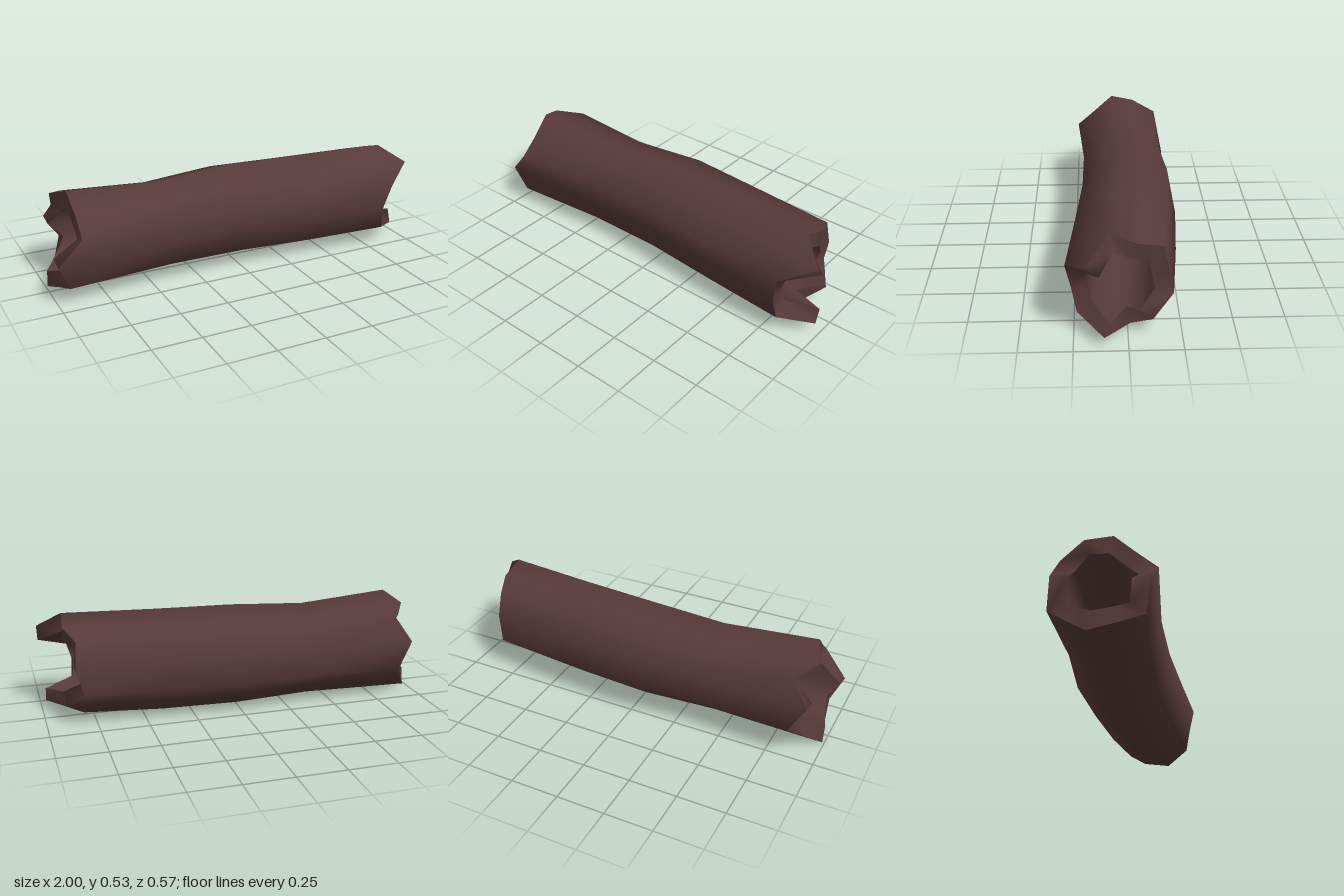
import * as THREE from 'three';

const SIDES = 6;
const COLS = SIDES * 2; // corners plus the middle of every side
const TWIST = THREE.MathUtils.degToRad(11);
const WALL = 0.65; // inner radius as a share of the outer one

// Broken edge: x of each rim point, from the top round over the front
const leftEnd = [-0.89, -0.88, -0.88, -1.0, -0.94, -0.96, -0.99, -0.92, -0.86, -0.94, -0.85, -0.94];
const rightEnd = [0.88, 1.0, 0.85, 0.82, 0.83, 0.98, 0.8, 0.9, 0.82, 0.85, 0.84, 0.89];

// Cross-sections along the slightly bent trunk
const stations = [
  { x: leftEnd, y: 0.273, z: -0.014, r: 0.27 },
  { x: -0.4, y: 0.265, z: -0.025, r: 0.244 },
  { x: 0, y: 0.274, z: -0.038, r: 0.262 },
  { x: 0.4, y: 0.272, z: -0.006, r: 0.264 },
  { x: rightEnd, y: 0.279, z: 0.036, r: 0.262 },
];

// Ring of points on a hexagon, side middles included
function ring({ x, y, z, r }, scale) {
  const corner = (k) => {
    const a = TWIST + (k * Math.PI * 2) / SIDES;
    return [y + Math.cos(a) * r * scale, z + Math.sin(a) * r * scale];
  };
  return Array.from({ length: COLS }, (_, i) => {
    const a = corner(Math.floor(i / 2));
    const b = corner(Math.ceil(i / 2));
    const px = Array.isArray(x) ? x[i] : x;
    return [px, (a[0] + b[0]) / 2, (a[1] + b[1]) / 2];
  });
}

// Closed band of faces joining successive rings
function loft(rings) {
  const index = [];
  for (let j = 0; j < rings.length - 1; j++) {
    for (let i = 0; i < COLS; i++) {
      const n = (i + 1) % COLS;
      const a = j * COLS + i, b = j * COLS + n;
      const c = a + COLS, d = b + COLS;
      index.push(a, b, c, b, d, c);
    }
  }
  const geometry = new THREE.BufferGeometry();
  geometry.setAttribute('position', new THREE.Float32BufferAttribute(rings.flat(2), 3));
  geometry.setIndex(index);
  geometry.computeVertexNormals();
  return geometry;
}

export function createModel() {
  const group = new THREE.Group();
  group.name = 'hollowLog';
  const bark = new THREE.MeshStandardMaterial({ color: 0x583a3a });
  bark.name = 'dark brown bark';

  const outer = stations.map((s) => ring(s, 1));
  const inner = stations.map((s) => ring(s, WALL));
  const last = stations.length - 1;

  const parts = {
    outerBark: outer,
    innerHollow: [...inner].reverse(),
    leftBrokenRim: [inner[0], outer[0]],
    rightBrokenRim: [outer[last], inner[last]],
  };
  for (const [name, rings] of Object.entries(parts)) {
    const mesh = new THREE.Mesh(loft(rings), bark);
    mesh.name = name;
    group.add(mesh);
  }
  return group;
}
